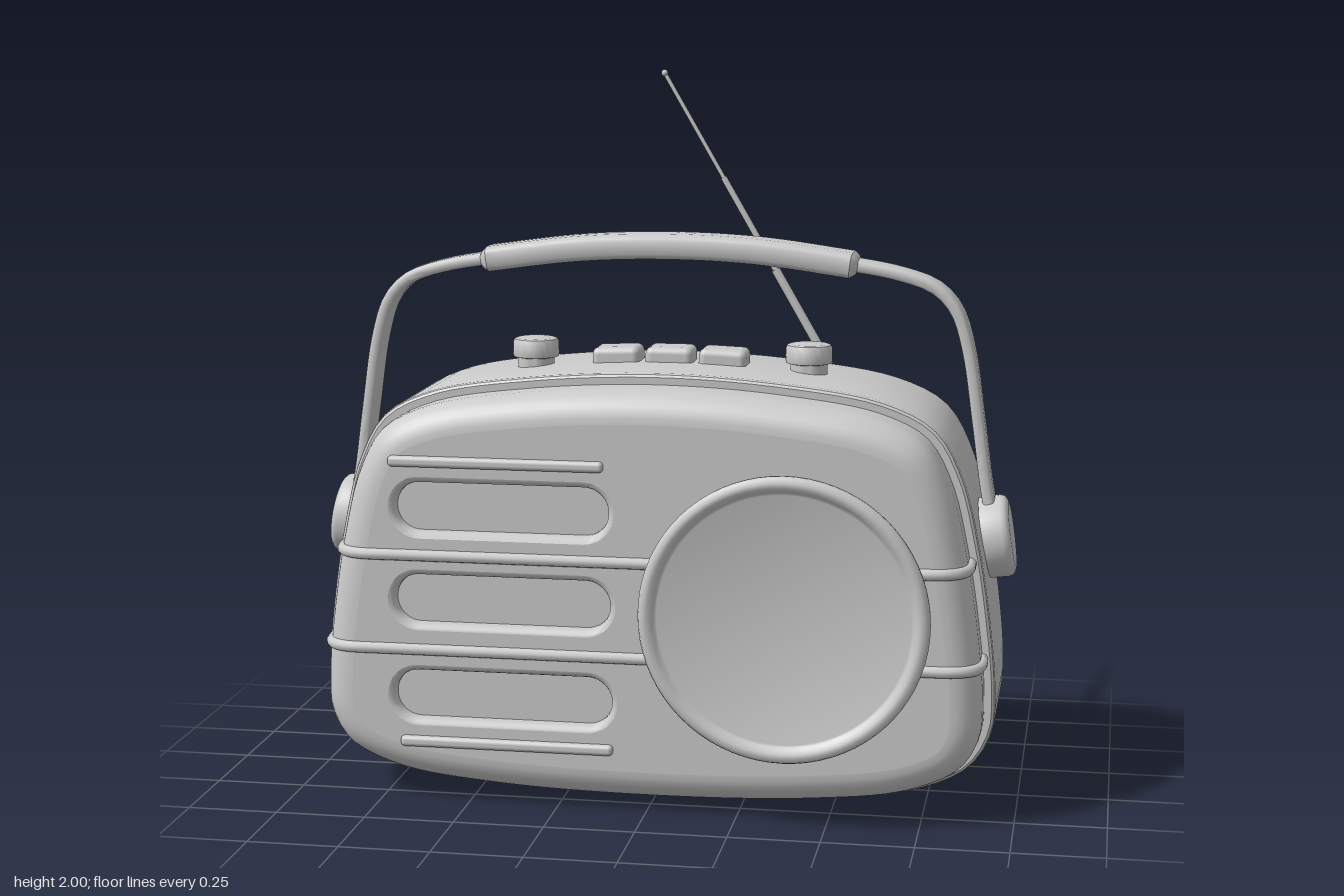
import * as THREE from 'three';
import { toCreasedNormals } from 'three/addons/utils/BufferGeometryUtils.js';
import { RoundedBoxGeometry } from 'three/addons/geometries/RoundedBoxGeometry.js';

const material = new THREE.MeshStandardMaterial({ color: 0xcccccc });
const V2 = (x, y) => new THREE.Vector2(x, y);
const V3 = (x, y, z) => new THREE.Vector3(x, y, z);

// Skin a list of equal-length rings, optionally closing either end
function loft(rings, capStart = false, capEnd = false) {
  const n = rings[0].length, pos = [], idx = [];
  rings.forEach(r => r.forEach(p => pos.push(p.x, p.y, p.z)));
  for (let i = 0; i < rings.length - 1; i++)
    for (let j = 0; j < n; j++) {
      const a = i * n + j, b = i * n + (j + 1) % n;
      idx.push(a, b, b + n, a, b + n, a + n);
    }
  const cap = (i, flip) => {
    const c = V3(0, 0, 0);
    rings[i].forEach(p => c.addScaledVector(p, 1 / n));
    const k = pos.length / 3;
    pos.push(c.x, c.y, c.z);
    for (let j = 0; j < n; j++) {
      const a = i * n + j, b = i * n + (j + 1) % n;
      idx.push(k, flip ? b : a, flip ? a : b);
    }
  };
  if (capStart) cap(0, true);
  if (capEnd) cap(rings.length - 1, false);
  const g = new THREE.BufferGeometry();
  g.setAttribute('position', new THREE.Float32BufferAttribute(pos, 3));
  g.setIndex(idx);
  return toCreasedNormals(g, 0.6);
}

// Body outline: half profile from bottom centre to top centre, mirrored
const half = [[0, 0.005], [0.45, 0.02], [0.72, 0.058], [0.87, 0.13], [0.932, 0.235], [0.938, 0.36],
  [0.922, 0.53], [0.888, 0.745], [0.838, 0.94], [0.765, 1.065], [0.63, 1.135], [0.36, 1.18], [0, 1.2]];
const outlineCurve = new THREE.CatmullRomCurve3(
  [...half, ...half.slice(1, -1).reverse().map(([x, y]) => [-x, y])].map(([x, y]) => V3(x, y, 0)), true);
const N = 128;
const outline = Array.from({ length: N }, (_, i) => {
  const p = outlineCurve.getPointAt(i / N), t = outlineCurve.getTangentAt(i / N);
  return { p, n: V3(t.y, -t.x, 0).normalize() };
});
const bodyRing = (inset, z) => outline.map(({ p, n }) => V3(p.x - n.x * inset, p.y - n.y * inset, z));

// Stadium ring used for the grille slots
function slotRing(cx, cy, halfW, r, z) {
  const pts = [];
  for (let i = 0; i < 40; i++) {
    const a = -Math.PI / 2 + (i < 20 ? i / 19 : 1 + (i - 20) / 19) * Math.PI;
    pts.push(V3(cx + (i < 20 ? 1 : -1) * (halfW - r) + Math.cos(a) * r, cy + Math.sin(a) * r, z));
  }
  return pts;
}

// Sweep a rounded rectangle along a path lying in the xy plane
function strap(curve, thick, width, z, steps, round = 0) {
  const rings = [];
  const len = curve.getLength();
  const addRing = (u, shrink) => {
    const p = curve.getPointAt(u), t = curve.getTangentAt(u), ring = [];
    for (let j = 0; j < 24; j++) {
      const a = j / 24 * Math.PI * 2;
      const sq = v => Math.sign(v) * Math.pow(Math.abs(v), 0.5);
      const h = sq(Math.cos(a)) * (thick / 2 - shrink), w = sq(Math.sin(a)) * (width / 2 - shrink);
      ring.push(V3(p.x - t.y * h, p.y + t.x * h, z + w));
    }
    rings.push(ring);
  };
  const e = round / len;
  if (round) [0, 0.3].forEach(f => addRing(e * f, round * (1 - f) ** 2));
  for (let i = 0; i <= steps; i++) addRing(e + (1 - 2 * e) * i / steps, 0);
  if (round) [0.3, 0].forEach(f => addRing(1 - e * f, round * (1 - f) ** 2));
  return loft(rings, true, true);
}

export function createModel() {
  const model = new THREE.Group();
  const add = (name, geometry, x = 0, y = 0, z = 0) => {
    const m = new THREE.Mesh(geometry, material);
    m.name = name;
    m.position.set(x, y, z);
    model.add(m);
    return m;
  };

  // Case: raised middle band between two rounded shells
  add('middleBand', loft([bodyRing(0.04, -0.29), bodyRing(0.01, -0.29), bodyRing(0.003, -0.285), bodyRing(0, -0.275),
    bodyRing(0, 0.165), bodyRing(0.003, 0.175), bodyRing(0.01, 0.18), bodyRing(0.04, 0.18)]));

  const arc = Array.from({ length: 9 }, (_, i) => i / 8 * Math.PI / 2);
  const FACE = 0.337, R = 0.085;
  add('frontShell', loft([bodyRing(0.03, 0.17),
    ...arc.map(a => bodyRing(0.03 + R * (1 - Math.cos(a)), FACE - R + R * Math.sin(a)))]));

  const dome = [0.1, 0.4, 0.7, 0.9].map(s => bodyRing(0.095, 0).map(p =>
    V3(p.x * s, 0.6 + (p.y - 0.6) * s, -0.433 - 0.014 * (1 - s * s))));
  add('backShell', loft([...dome,
    ...arc.slice().reverse().map(a => bodyRing(0.03 + 0.065 * (1 - Math.cos(a)), -0.368 - 0.065 * Math.sin(a))),
    bodyRing(0.03, -0.28)], true));

  // Front face with three softly recessed grille slots
  const face = new THREE.Shape(bodyRing(0.03 + R, 0).map(p => V2(p.x, p.y)));
  [[-0.4, 0.838], [-0.4, 0.58], [-0.4, 0.31]].forEach(([x, y], i) => {
    const hw = 0.315 + i * 0.004, r = 0.086;
    face.holes.push(new THREE.Path(slotRing(x, y, hw, r, 0).reverse().map(p => V2(p.x, p.y))));
    const rings = [0, 0.25, 0.5, 0.75, 1].map(f => {
      const a = f * Math.PI / 2, d = 0.018 * Math.sin(a);
      return slotRing(x, y, hw - d, r - d, FACE - 0.025 * (1 - Math.cos(a)));
    });
    rings.push(slotRing(x, y, hw - 0.018, r - 0.018, FACE - 0.04));
    add('grilleSlot', loft(rings, false, true));
  });
  add('frontFace', new THREE.ShapeGeometry(face), 0, 0, FACE);

  // Trim rods wrapping around the front shell
  for (const [y, e] of [[0.705, 0.865], [0.44, 0.902]]) {
    const side = [[e, 0.17], [e, 0.25], [e - 0.007, 0.285], [e - 0.025, 0.312], [e - 0.052, 0.33],
      [e - 0.085, FACE], [e - 0.2, FACE], [0.3, FACE]];
    const pts = [...side.map(([x, z]) => V3(-x, y, z)), ...side.reverse().map(([x, z]) => V3(x, y, z))];
    add('trimRod', new THREE.TubeGeometry(new THREE.CatmullRomCurve3(pts), 120, 0.016, 10));
  }
  // Short accent bars above and below the grille
  for (const [x, y] of [[-0.412, 0.967], [-0.388, 0.18]])
    add('accentBar', new RoundedBoxGeometry(0.597, 0.03, 0.035, 3, 0.012), x, y, FACE);

  // Round speaker with rolled rim and recessed disc
  const speaker = [[0, 0.428], [0.34, 0.428], [0.346, 0.43], [0.352, 0.437], [0.362, 0.446], [0.375, 0.447], [0.386, 0.44],
    [0.391, 0.428], [0.39, 0.415], [0.384, 0.404], [0.372, 0.4], [0.372, 0.32]].reverse().map(([r, z]) => V2(r, z));
  add('speaker', toCreasedNormals(new THREE.LatheGeometry(speaker, 72), 0.7), 0.387, 0.585, 0)
    .rotation.x = Math.PI / 2;

  // Carrying handle: strap, padded grip and side pivots
  const HZ = -0.06;
  const side = [[0.92, 0.74], [0.895, 0.86], [0.868, 1.05], [0.835, 1.26], [0.8, 1.365], [0.745, 1.423],
    [0.65, 1.458], [0.5, 1.485], [0.25, 1.516]];
  const path = [...side.map(([x, y]) => V3(-x, y, 0)), V3(0, 1.526, 0), ...side.slice().reverse().map(([x, y]) => V3(x, y, 0))];
  add('handleStrap', strap(new THREE.CatmullRomCurve3(path), 0.036, 0.105, HZ, 90));
  const gripPath = [[-0.53, 1.48], [-0.25, 1.516], [0, 1.526], [0.25, 1.516], [0.53, 1.48]].map(([x, y]) => V3(x, y, 0));
  add('handleGrip', strap(new THREE.CatmullRomCurve3(gripPath), 0.072, 0.145, HZ, 30, 0.02));
  const pivot = [[0, -0.04], [0.113, -0.04], [0.115, 0.018], [0.111, 0.03], [0.103, 0.037], [0.09, 0.04], [0, 0.04]]
    .map(([r, y]) => V2(r, y));
  for (const s of [1, -1])
    add(s > 0 ? 'leftPivot' : 'rightPivot', toCreasedNormals(new THREE.LatheGeometry(pivot, 40), 0.7), s * 0.927, 0.732, HZ)
      .rotation.z = -s * (Math.PI / 2 - 0.15);

  // Top controls: two knobs and three push buttons
  const knob = [[0.052, -0.04], [0.052, 0.025], [0.064, 0.028], [0.066, 0.035], [0.065, 0.07], [0.061, 0.078], [0.052, 0.081], [0, 0.081]]
    .map(([r, y]) => V2(r, y));
  for (const s of [1, -1])
    add('knob', toCreasedNormals(new THREE.LatheGeometry(knob, 36), 0.7), s * 0.39, 1.174, -0.09);
  for (const i of [-1, 0, 1])
    add('pushButton', new RoundedBoxGeometry(0.135, 0.07, 0.11, 4, 0.02), i * 0.151, 1.206 - Math.abs(i) * 0.003, -0.09)
      .rotation.z = -i * 0.04;

  // Telescopic antenna in stepped sections with ball ends
  const base = V3(0.41, 1.165, -0.372), tip = V3(-0.068, 1.99, -0.372);
  for (const [a, b, r] of [[0, 0.32, 0.013], [0.3, 0.64, 0.009], [0.6, 1, 0.006]]) {
    const p = base.clone().lerp(tip, a), q = base.clone().lerp(tip, b);
    const m = add('antennaSection', new THREE.CylinderGeometry(r, r, p.distanceTo(q), 14));
    m.position.copy(p).lerp(q, 0.5);
    m.quaternion.setFromUnitVectors(V3(0, 1, 0), q.sub(p).normalize());
  }
  add('antennaBase', new THREE.SphereGeometry(0.017, 16, 12), base.x, base.y, base.z);
  add('antennaTip', new THREE.SphereGeometry(0.01, 14, 10), tip.x, tip.y, tip.z);

  return model;
}
